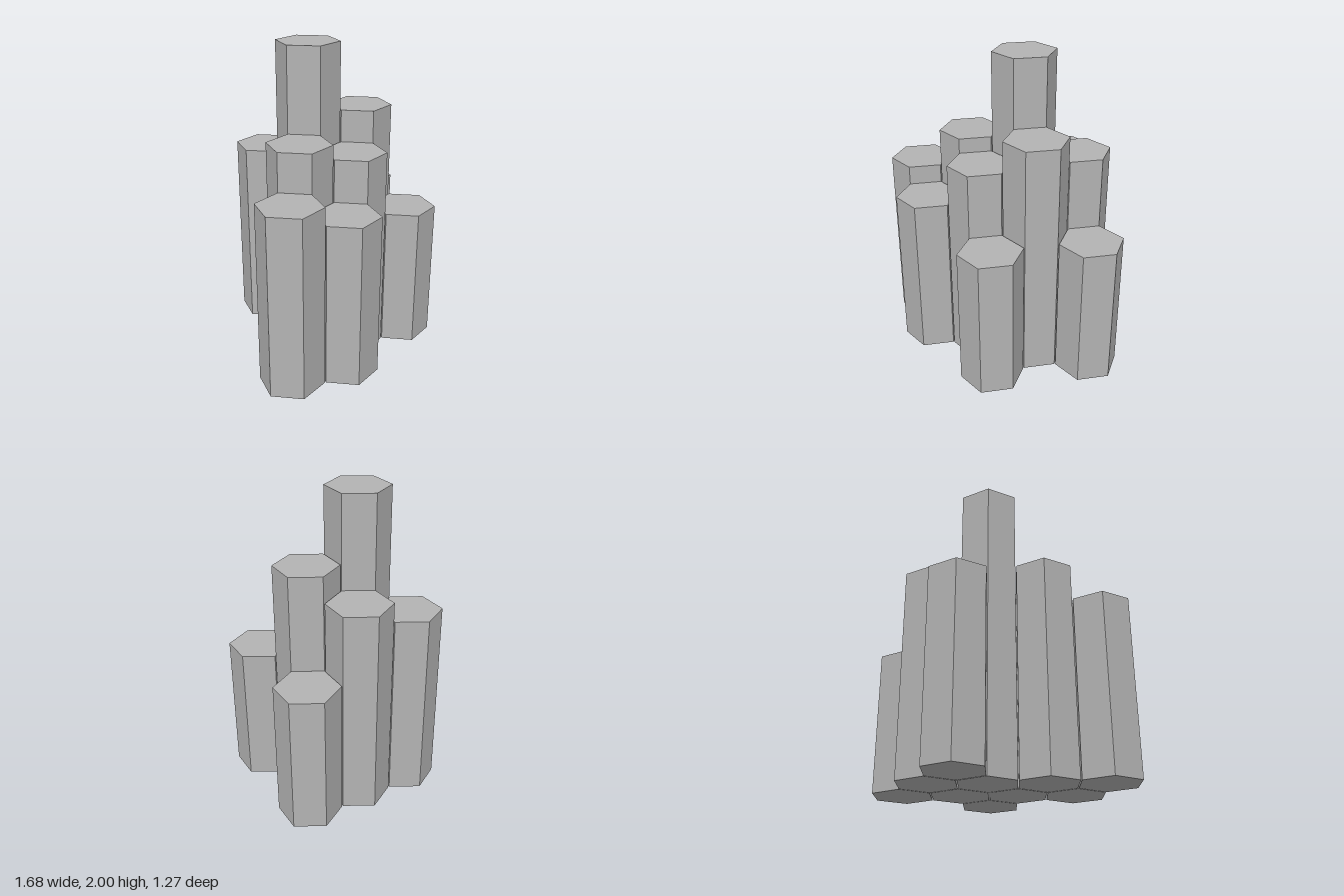
import * as THREE from 'three';

const RADIUS = 0.207;   // hexagon corner radius
const STEP_X = 0.317;   // lattice column spacing
const STEP_Z = 0.183;   // half of the lattice row spacing

// [column, half-row, height] of each pillar on the hexagonal lattice
const PILLARS = [
  [0, -2.5, 1.26],
  [1, -1.5, 1.39],
  [2, -0.5, 0.93],
  [0, -0.5, 2.0],
  [-1, 0.5, 1.445],
  [1, 0.5, 1.56],
  [-2, 1.5, 1.195],
  [0, 1.5, 1.35],
  [-1, 2.5, 1.075],
  [1, 2.5, 0.93],
];

export function createModel() {
  const group = new THREE.Group();
  group.name = 'hexagonalPillars';

  const stone = new THREE.MeshStandardMaterial({ color: 0xb3b3b3, flatShading: true });
  stone.name = 'stoneGrey';

  // Six-sided columns with corners pointing along x, standing on the ground
  PILLARS.forEach(([column, row, height], i) => {
    const geometry = new THREE.CylinderGeometry(RADIUS, RADIUS, height, 6, 1, false, Math.PI / 6);
    const pillar = new THREE.Mesh(geometry, stone);
    pillar.name = `pillar${i + 1}`;
    pillar.position.set(column * STEP_X, height / 2, row * STEP_Z);
    group.add(pillar);
  });

  return group;
}
